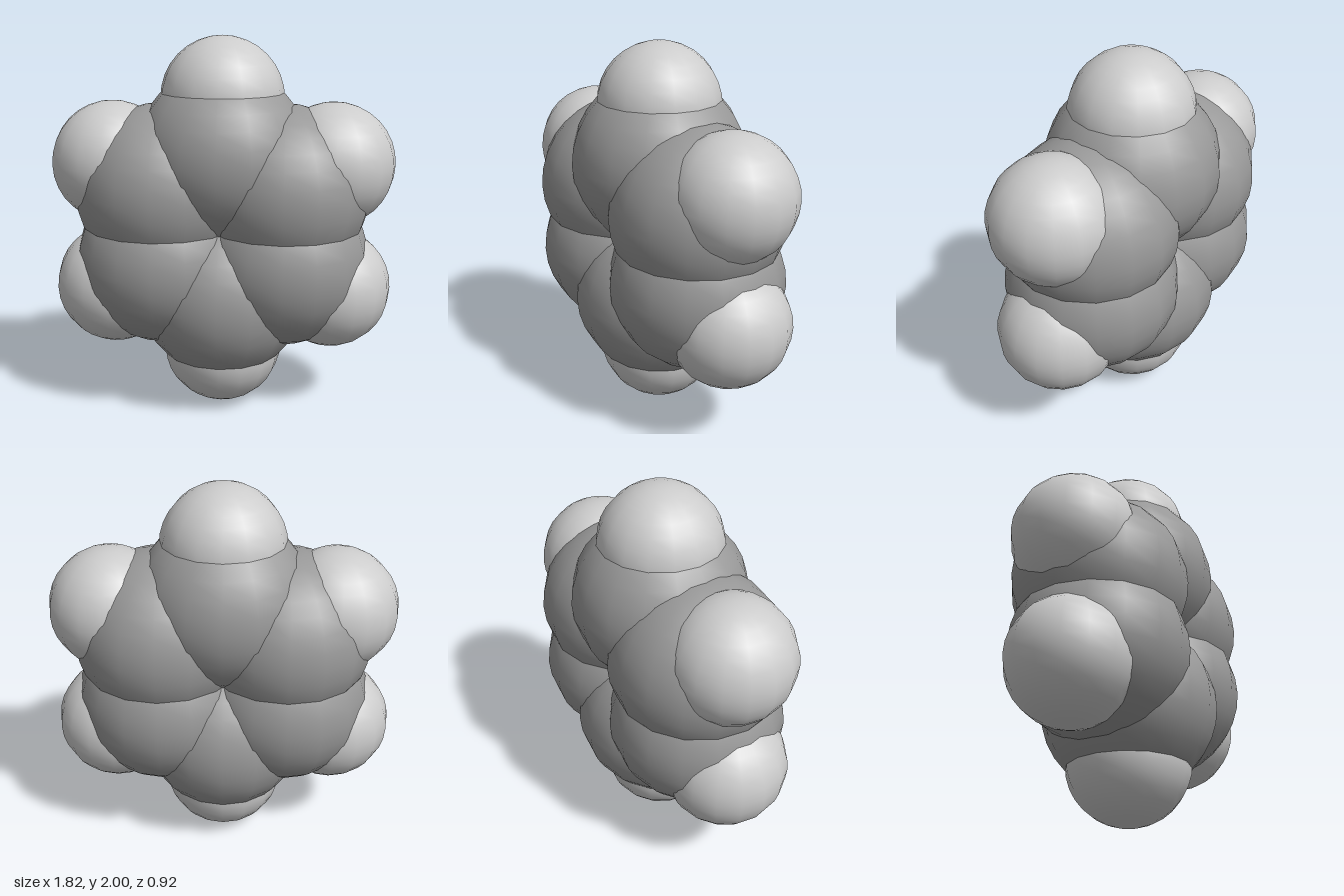
import * as THREE from 'three';

export function createModel() {
  const model = new THREE.Group();
  model.name = 'ringMolecule';

  const darkGrey = new THREE.MeshStandardMaterial({ color: 0x999999 });
  darkGrey.name = 'darkGrey';
  const lightGrey = new THREE.MeshStandardMaterial({ color: 0xcccccc });
  lightGrey.name = 'lightGrey';

  // Six equal spheres on an upright hexagon, one straight up
  function addRing(name, radius, distance, material) {
    const geometry = new THREE.SphereGeometry(radius, 16, 16);
    for (let i = 0; i < 6; i++) {
      const angle = Math.PI / 2 + (i * Math.PI) / 3;
      const atom = new THREE.Mesh(geometry, material);
      atom.name = name + (i + 1);
      atom.position.set(distance * Math.cos(angle), 1 + distance * Math.sin(angle), 0);
      model.add(atom);
    }
  }

  addRing('innerAtom', 0.46, 0.378, darkGrey);
  addRing('outerAtom', 0.325, 0.673, lightGrey);

  return model;
}
